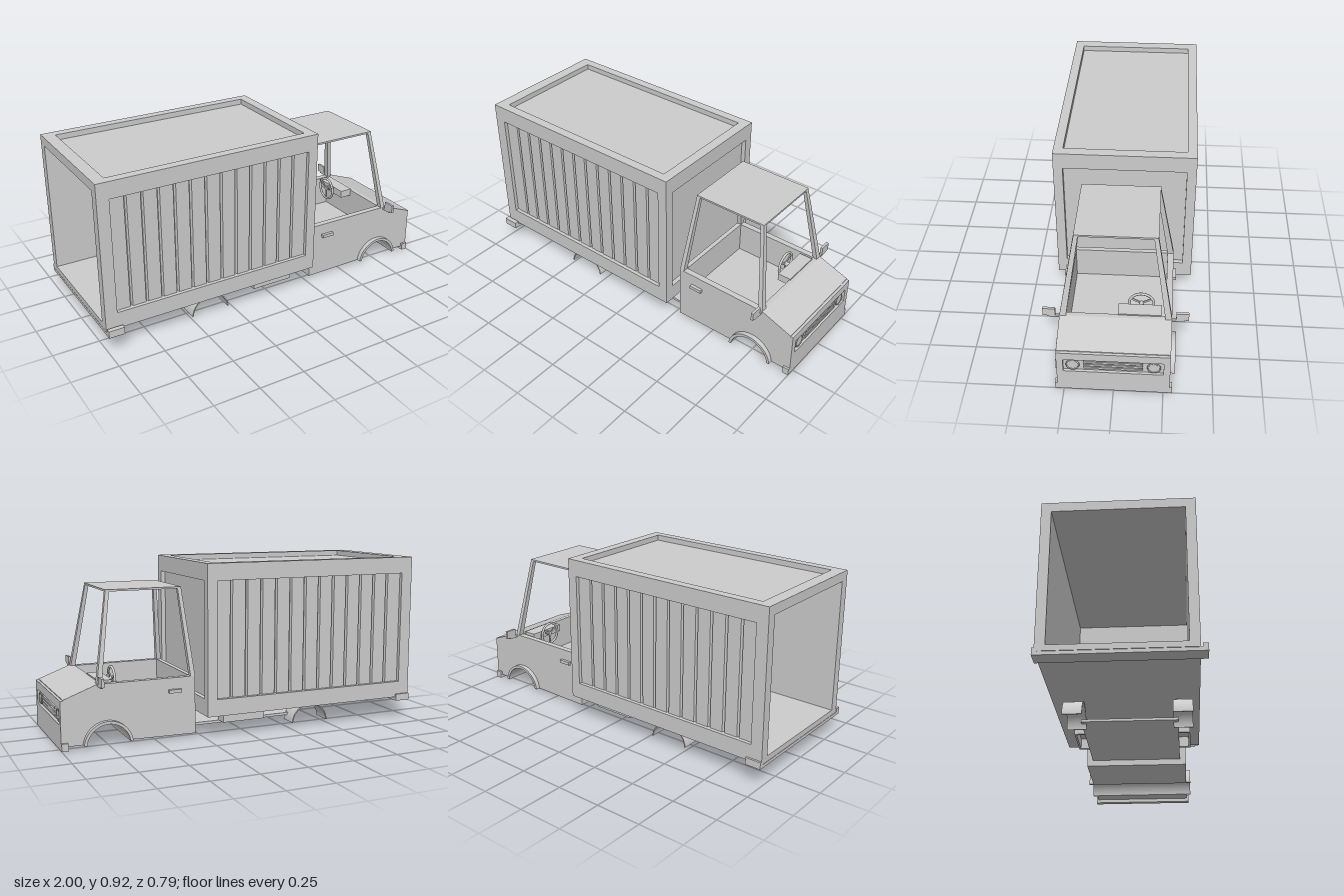
import * as THREE from 'three';

const mat = new THREE.MeshStandardMaterial({ color: 0xcccccc });

export function createModel() {
  const root = new THREE.Group();
  const cargo = new THREE.Group();
  const cab = new THREE.Group();
  const chassis = new THREE.Group();
  cargo.name = 'cargoBox';
  cab.name = 'cab';
  chassis.name = 'chassis';
  cargo.position.z = -0.012;
  root.add(cargo, cab, chassis);

  const add = (parent, name, geo) => {
    const mesh = new THREE.Mesh(geo, mat);
    mesh.name = name;
    parent.add(mesh);
    return mesh;
  };
  // Box given by its limits on each axis
  const box = (parent, name, x0, x1, y0, y1, z0, z1) =>
    add(parent, name, new THREE.BoxGeometry(x1 - x0, y1 - y0, z1 - z0)
      .translate((x0 + x1) / 2, (y0 + y1) / 2, (z0 + z1) / 2));
  // Same box on both sides of the truck
  const pair = (parent, name, x0, x1, y0, y1, z0, z1) => {
    box(parent, name, x0, x1, y0, y1, z0, z1);
    box(parent, name, x0, x1, y0, y1, -z1, -z0);
  };
  const rect = (x0, x1, y0, y1, Type = THREE.Shape) =>
    new Type([[x0, y0], [x1, y0], [x1, y1], [x0, y1]].map(p => new THREE.Vector2(...p)));
  const extrude = (shape, depth) =>
    new THREE.ExtrudeGeometry(shape, { depth, bevelEnabled: false, curveSegments: 20 });

  // ---- Cargo box: side frames with grooved panels ----
  const L = -1, R = 0.25, W = 0.373, T = 0.05;
  const px0 = -0.935, px1 = 0.195, py0 = 0.21, py1 = 0.83, panels = 13;
  for (const s of [1, -1]) {
    const frame = rect(L, R, 0.12, 0.92);
    frame.holes.push(rect(px0, px1, py0, py1, THREE.Path));
    add(cargo, 'sideFrame', extrude(frame, T).translate(0, 0, s > 0 ? W - T : -W));

    const step = (px1 - px0) / panels;
    const profile = new THREE.Shape();
    profile.moveTo(px0, -s * 0.323);
    profile.lineTo(px0, -s * 0.353);
    for (let i = 1; i < panels; i++) {
      const x = px0 + i * step;
      profile.lineTo(x - 0.007, -s * 0.353);
      profile.lineTo(x - 0.002, -s * 0.338);
      profile.lineTo(x + 0.002, -s * 0.338);
      profile.lineTo(x + 0.007, -s * 0.353);
    }
    profile.lineTo(px1, -s * 0.353);
    profile.lineTo(px1, -s * 0.323);
    add(cargo, 'groovedSidePanel', extrude(profile, py1 - py0).rotateX(-Math.PI / 2).translate(0, py0, 0));
  }

  // Roof, front wall and floor; the rear is open
  const I = W - T;
  box(cargo, 'roofPanel', px0, px1, 0.87, 0.89, -I, I);
  box(cargo, 'rearRoofRail', L, px0, 0.87, 0.92, -I, I);
  box(cargo, 'frontRoofRail', px1, R, py1, 0.92, -I, I);
  box(cargo, 'frontBottomRail', px1, R, 0.12, py0, -I, I);
  box(cargo, 'frontPanel', px1, 0.225, py0, py1, -I, I);
  box(cargo, 'cargoFloor', L, px1, 0.12, 0.15, -I, I);

  // ---- Chassis ----
  box(chassis, 'rearBumper', L, -0.915, 0.1, 0.118, -0.396, 0.396);
  pair(chassis, 'rearBumperEnd', L, -0.915, 0.1, 0.138, 0.37, 0.396);
  box(chassis, 'chassisPlate', -0.32, 0.29, 0.048, 0.062, -0.25, 0.25);
  for (const s of [1, -1]) {
    const tray = rect(-0.11, 0.13, -0.035, 0.035);
    tray.holes.push(rect(-0.095, 0.115, -0.025, 0.025, THREE.Path));
    add(chassis, 'sideTray', extrude(tray, 0.06).rotateX(-Math.PI / 2).translate(0, 0.062, s * 0.275));
  }

  // Half-ring over a wheel
  const arch = (parent, name, x, y, rOut, rIn, z0, z1, start = 0) => {
    const ring = new THREE.Shape();
    ring.absarc(x, y, rOut, start, Math.PI - start, false);
    ring.absarc(x, y, rIn, Math.PI - start, start, true);
    for (const z of [z0, -z1]) add(parent, name, extrude(ring, z1 - z0).translate(0, 0, z));
  };
  arch(chassis, 'rearFender', -0.39, 0.012, 0.11, 0.104, 0.225, 0.325, 0.07);

  // ---- Cab: underbody and nose with the wheel arch cut through ----
  const H = 0.283;
  const body = new THREE.Shape();
  body.moveTo(0.28, 0.015);
  body.lineTo(0.645, 0.02);
  body.absarc(0.76, 0.005, 0.115, Math.PI - 0.13, 0.13, true);
  body.lineTo(0.985, 0.02);
  body.lineTo(0.985, 0.26);
  body.lineTo(0.81, 0.325);
  body.lineTo(0.81, 0.15);
  body.lineTo(0.28, 0.15);
  add(cab, 'underbodyAndNose', extrude(body, 2 * H).translate(0, 0, -H));
  arch(cab, 'frontArchFlare', 0.76, 0.005, 0.13, 0.115, 0.275, 0.308, 0.12);

  // Open tub with door walls
  const tub = rect(0.28, 0.81, -H, H);
  tub.holes.push(rect(0.305, 0.785, -0.25, 0.25, THREE.Path));
  add(cab, 'doorWalls', extrude(tub, 0.175).rotateX(-Math.PI / 2).translate(0, 0.15, 0));

  // Front face with recessed grille, bars and headlights
  const face = rect(-H, H, 0.02, 0.256);
  face.holes.push(rect(-0.25, 0.25, 0.13, 0.21, THREE.Path));
  add(cab, 'frontFace', extrude(face, 0.015).rotateY(Math.PI / 2).translate(0.985, 0, 0));
  for (const y of [0.154, 0.173, 0.192]) box(cab, 'grilleBar', 0.985, 0.996, y - 0.006, y + 0.006, -0.148, 0.148);
  for (const s of [1, -1]) {
    const rim = add(cab, 'headlightRim', new THREE.TorusGeometry(0.031, 0.004, 8, 32));
    rim.rotation.y = Math.PI / 2;
    rim.position.set(0.992, 0.17, s * 0.202);
    const lamp = add(cab, 'headlight', new THREE.CylinderGeometry(0.029, 0.029, 0.008, 32));
    lamp.rotation.z = Math.PI / 2;
    lamp.position.set(0.989, 0.17, s * 0.202);
  }
  box(cab, 'frontBumper', 0.965, 1, 0, 0.02, -0.295, 0.295);
  pair(cab, 'frontBumperEnd', 0.965, 1, 0, 0.04, 0.278, 0.295);

  // Leaning pillars: a box whose bottom and top have their own limits
  const pillar = (name, b, t) => {
    const geo = new THREE.BoxGeometry(1, 1, 1);
    const p = geo.attributes.position;
    for (let i = 0; i < p.count; i++) {
      const top = p.getY(i) > 0, e = top ? t : b;
      p.setXYZ(i, p.getX(i) > 0 ? e[1] : e[0], top ? 0.782 : 0.325, p.getZ(i) > 0 ? e[3] : e[2]);
    }
    geo.computeVertexNormals();
    add(cab, name, geo);
  };
  for (const s of [1, -1]) {
    const zr = (a, c) => (s > 0 ? [a, c] : [-c, -a]);
    pillar('rearPillar', [0.28, 0.305, ...zr(0.25, H)], [0.325, 0.345, ...zr(0.183, 0.205)]);
    pillar('frontPillar', [0.785, 0.81, ...zr(0.25, H)], [0.715, 0.735, ...zr(0.183, 0.205)]);
  }
  box(cab, 'cabRoof', 0.325, 0.735, 0.78, 0.79, -0.205, 0.205);

  // Handles and mirrors
  pair(cab, 'doorHandle', 0.36, 0.43, 0.246, 0.264, 0.28, 0.3);
  pair(cab, 'mirror', 0.796, 0.81, 0.322, 0.367, 0.303, 0.367);
  pair(cab, 'mirrorArm', 0.797, 0.809, 0.314, 0.325, 0.27, 0.345);

  // Dashboard and steering wheel
  box(cab, 'dashboard', 0.715, 0.79, 0.29, 0.332, -0.23, -0.01);
  const wheel = new THREE.Group();
  wheel.name = 'steeringWheel';
  wheel.position.set(0.688, 0.315, -0.125);
  cab.add(wheel);
  add(wheel, 'wheelRim', new THREE.TorusGeometry(0.063, 0.007, 8, 32).rotateY(Math.PI / 2));
  add(wheel, 'wheelColumn', new THREE.CylinderGeometry(0.012, 0.012, 0.05, 16).rotateZ(Math.PI / 2).translate(0.02, 0, 0));
  for (let i = 0; i < 3; i++) {
    const spoke = add(wheel, 'wheelSpoke', new THREE.BoxGeometry(0.006, 0.062, 0.01).translate(0, 0.031, 0));
    spoke.rotation.x = Math.PI / 3 + i * Math.PI * 2 / 3;
  }
  return root;
}
